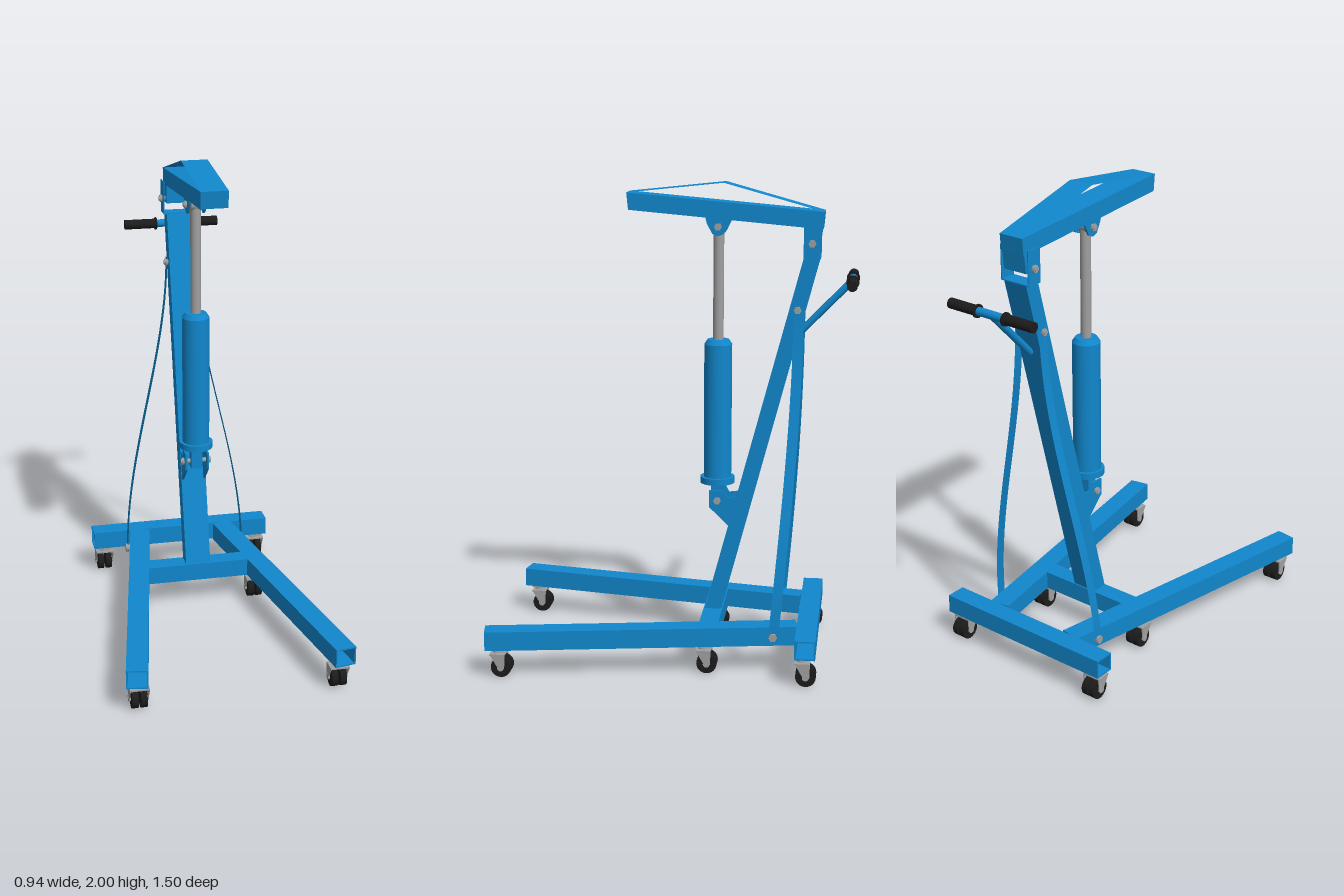
import * as THREE from 'three';

const mat = (color) => new THREE.MeshStandardMaterial({ color });
const blue = mat(0x1187cc);
const black = mat(0x1c1c1c);
const grey = mat(0xa0a0a0);
const thinBlue = mat(0x1187cc);
thinBlue.side = THREE.DoubleSide;

function add(parent, name, geometry, material, x = 0, y = 0, z = 0) {
  const mesh = new THREE.Mesh(geometry, material);
  mesh.name = name;
  mesh.position.set(x, y, z);
  parent.add(mesh);
  return mesh;
}

// Side profile given as [z, y] points, extruded across x and centred on x
function sidePlate(parent, name, points, width, x = 0, material = blue) {
  const shape = new THREE.Shape(points.map(([z, y]) => new THREE.Vector2(z, y)));
  const g = new THREE.ExtrudeGeometry(shape, { depth: width, bevelEnabled: false });
  g.translate(0, 0, -width / 2).rotateY(-Math.PI / 2);
  return add(parent, name, g, material, x);
}

// Hollow rectangular tube along z, centred
function hollowTube(w, h, length, wall = 0.006) {
  const rect = (Type, a, b) => new Type([[-a, -b], [a, -b], [a, b], [-a, b]].map((p) => new THREE.Vector2(...p)));
  const shape = rect(THREE.Shape, w / 2, h / 2);
  shape.holes.push(rect(THREE.Path, w / 2 - wall, h / 2 - wall));
  return new THREE.ExtrudeGeometry(shape, { depth: length, bevelEnabled: false }).translate(0, 0, -length / 2);
}

const cylX = (r, length, sides = 24) => new THREE.CylinderGeometry(r, r, length, sides).rotateZ(Math.PI / 2);

// Cross pin with a hexagonal head at both ends
function bolt(parent, name, y, z, half) {
  const g = new THREE.Group();
  g.name = name;
  add(g, 'pin', cylX(0.01, half * 2 + 0.02), grey);
  for (const s of [-1, 1]) add(g, 'boltHead', cylX(0.016, 0.012, 6), grey, s * half);
  g.position.set(0, y, z);
  parent.add(g);
}

// Swivel caster with two wheels
function caster(parent, x, z) {
  const g = new THREE.Group();
  g.name = 'caster';
  add(g, 'mountPlate', new THREE.BoxGeometry(0.06, 0.008, 0.06), grey, 0, 0.116, 0.015);
  add(g, 'swivel', new THREE.CylinderGeometry(0.02, 0.024, 0.02, 16), grey, 0, 0.104, 0.015);
  for (const s of [-1, 1]) {
    sidePlate(g, 'fork', [[0.045, 0.1], [-0.018, 0.1], [-0.016, 0.04], [0.006, 0.034]], 0.004, s * 0.038, grey);
    add(g, 'wheel', cylX(0.042, 0.026), black, s * 0.018, 0.042);
    add(g, 'hub', cylX(0.014, 0.008, 12), grey, s * 0.037, 0.042);
  }
  sidePlate(g, 'forkCrown', [[0.045, 0.1], [-0.018, 0.1], [-0.018, 0.094], [0.045, 0.094]], 0.08, 0, grey);
  g.position.set(x, 0, z);
  parent.add(g);
}

// Flat strap swept in a gentle S from the leg up to the mast
function strapGeometry(side) {
  const n = 28, pos = [], idx = [];
  for (let i = 0; i <= n; i++) {
    const t = i / n;
    const ease = t * t * (3 - 2 * t);
    const x = side * (0.268 - 0.206 * ease);
    const y = 0.14 + 1.37 * t;
    const z = -0.435 - 0.075 * Math.sin(t * Math.PI / 2);
    pos.push(x, y, z - 0.021, x, y, z + 0.021);
    if (i < n) idx.push(2 * i, 2 * i + 2, 2 * i + 1, 2 * i + 1, 2 * i + 2, 2 * i + 3);
  }
  const g = new THREE.BufferGeometry();
  g.setAttribute('position', new THREE.Float32BufferAttribute(pos, 3));
  g.setIndex(idx);
  g.computeVertexNormals();
  return g;
}

export function createModel() {
  const root = new THREE.Group();
  root.name = 'engineHoist';

  // Base frame
  const base = new THREE.Group();
  base.name = 'base';
  root.add(base);
  add(base, 'rearBeam', hollowTube(0.085, 0.08, 0.82).rotateY(Math.PI / 2), blue, 0, 0.16, -0.573);
  add(base, 'crossBeam', new THREE.BoxGeometry(0.5, 0.078, 0.08), blue, 0, 0.16, -0.165);
  for (const s of [-1, 1]) {
    const leg = add(base, 'leg', hollowTube(0.088, 0.08, 1.29), blue, s * 0.31, 0.16, 0.105);
    leg.rotation.y = s * Math.atan2(0.23, 1.27);
    add(base, 'strap', strapGeometry(s), thinBlue);
    add(base, 'strapBolt', cylX(0.018, 0.02, 6), grey, s * 0.268, 0.16, -0.435);
    caster(base, s * 0.41, 0.672);
    caster(base, s * 0.262, -0.163);
    caster(base, s * 0.36, -0.577);
  }

  // Leaning mast
  sidePlate(root, 'mast', [[-0.13, 0.2], [-0.2, 0.2], [-0.592, 1.7], [-0.525, 1.7]], 0.11);
  bolt(root, 'strapPin', 1.49, -0.505, 0.064);

  // Pivot saddle between mast and boom
  for (const s of [-1, 1])
    sidePlate(root, 'saddleSide', [[-0.525, 1.7], [-0.593, 1.7], [-0.593, 1.84], [-0.525, 1.84]], 0.004, s * 0.067);
  add(root, 'saddleFloor', new THREE.BoxGeometry(0.136, 0.005, 0.068), blue, 0, 1.7, -0.559);
  sidePlate(root, 'boomKnuckle', [[-0.53, 1.745], [-0.59, 1.745], [-0.6, 1.835], [-0.53, 1.835]], 0.11);
  bolt(root, 'boomPin', 1.762, -0.56, 0.074);

  // Boom and the bent reinforcing plate above it
  sidePlate(root, 'boom', [[0.19, 1.888], [0.197, 1.958], [-0.608, 1.887], [-0.602, 1.818]], 0.112);
  const ridge = [[0.195, 1.958], [-0.2, 2.0], [-0.608, 1.887]];
  for (let i = 0; i < 2; i++) {
    const [z0, y0] = ridge[i], [z1, y1] = ridge[i + 1];
    const g = new THREE.PlaneGeometry(0.112, Math.hypot(z1 - z0, y1 - y0)).rotateX(-Math.PI / 2);
    const plate = add(root, 'boomTopPlate', g, thinBlue, 0, (y0 + y1) / 2, (z0 + z1) / 2);
    plate.rotation.x = Math.atan2(y1 - y0, z0 - z1);
  }

  // Hydraulic ram
  const ram = new THREE.Group();
  ram.name = 'ram';
  ram.position.z = -0.176;
  root.add(ram);
  const body = [[0, 0.745], [0.072, 0.745], [0.072, 0.772], [0.058, 0.772], [0.058, 1.335], [0.045, 1.355], [0, 1.355]];
  // Each profile segment is its own lathe so the edges stay sharp
  for (let i = 0; i < body.length - 1; i++) {
    const pts = [body[i], body[i + 1]].map((p) => new THREE.Vector2(...p));
    add(ram, 'cylinder', new THREE.LatheGeometry(pts, 36), blue);
  }
  add(ram, 'rod', new THREE.CylinderGeometry(0.022, 0.022, 0.5, 24), grey, 0, 1.6);
  add(ram, 'rodEye', cylX(0.026, 0.044), grey, 0, 1.822);
  add(ram, 'lowerEye', new THREE.BoxGeometry(0.05, 0.1, 0.045), blue, 0, 0.7);

  // Lugs holding the ram
  for (const s of [-1, 1]) {
    const top = [[-0.122, 1.865], [-0.23, 1.855], [-0.222, 1.835], [-0.2, 1.793], [-0.176, 1.783], [-0.152, 1.793], [-0.13, 1.835]];
    sidePlate(root, 'upperLug', top, 0.008, s * 0.034);
    const low = [[-0.145, 0.72], [-0.205, 0.722], [-0.222, 0.69], [-0.3, 0.7], [-0.27, 0.56], [-0.225, 0.57], [-0.145, 0.648]];
    sidePlate(root, 'lowerLug', low, 0.008, s * 0.048);
  }
  bolt(root, 'upperRamPin', 1.822, -0.176, 0.042);
  bolt(root, 'lowerRamPin', 0.677, -0.18, 0.057);

  // Push handle
  const stem = add(root, 'handleStem', new THREE.CylinderGeometry(0.015, 0.015, 0.3, 16), blue, 0, 1.503, -0.621);
  stem.rotation.x = -Math.atan2(0.208, 0.214);
  add(root, 'handleBar', cylX(0.017, 0.16), blue, 0, 1.61, -0.725);
  for (const s of [-1, 1]) {
    add(root, 'grip', cylX(0.021, 0.14), black, s * 0.14, 1.61, -0.725);
    add(root, 'gripFlange', cylX(0.027, 0.008), black, s * 0.07, 1.61, -0.725);
  }
  return root;
}
